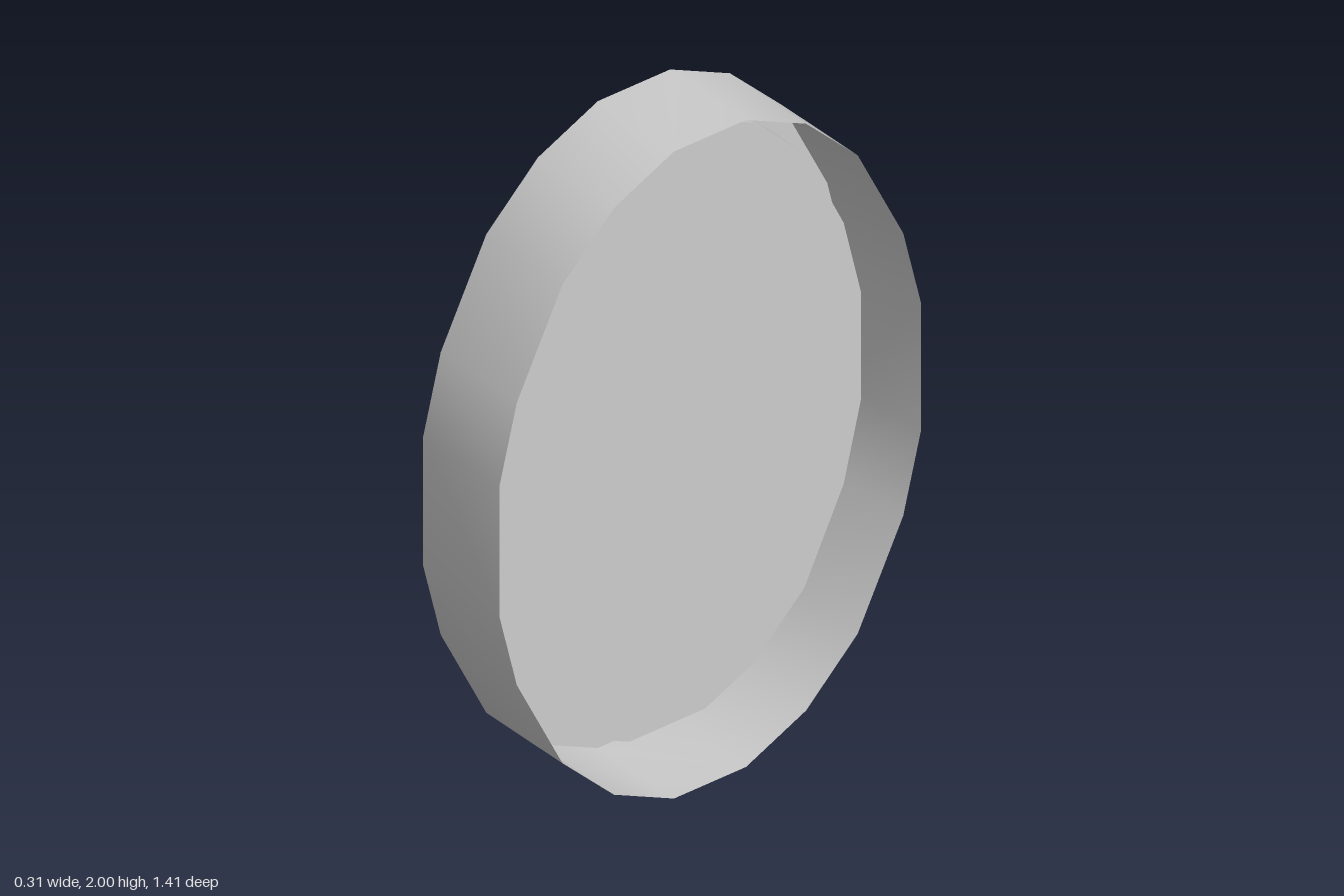
import * as THREE from 'three';

// Quarter outlines [across, up] measured from the centre of the oval
const OUTER = [[0.707, 0.2], [0.648, 0.437], [0.495, 0.74], [0.322, 0.907], [0.121, 1]];
const INNER = [[0.65, 0.167], [0.592, 0.404], [0.46, 0.672], [0.288, 0.836], [0.127, 0.91]];
const HALF_DEPTH = 0.157;
const PANEL_DEPTH = 0.02;

// Mirror a quarter into a full counter-clockwise 20-sided loop
function fullLoop(quarter) {
  const half = [...quarter, ...quarter.map(([x, y]) => [-x, y]).reverse()];
  return [...half, ...half.map(([x, y]) => [-x, -y])].map(([x, y]) => new THREE.Vector2(x, y));
}

// Smooth band around a loop; faces outward when z0 < z1, inward otherwise
function band(loop, z0, z1) {
  const n = loop.length;
  const positions = [];
  const index = [];
  loop.forEach((p, i) => {
    positions.push(p.x, p.y, z0, p.x, p.y, z1);
    const a = 2 * i;
    const b = 2 * ((i + 1) % n);
    index.push(a, b, b + 1, a, b + 1, a + 1);
  });
  const geometry = new THREE.BufferGeometry();
  geometry.setAttribute('position', new THREE.Float32BufferAttribute(positions, 3));
  geometry.setIndex(index);
  geometry.computeVertexNormals();
  return geometry;
}

export function createModel() {
  const material = new THREE.MeshStandardMaterial({ color: 0xcccccc, side: THREE.DoubleSide });
  const outer = fullLoop(OUTER);
  const inner = fullLoop(INNER);

  // Built facing +z, then turned so the rimmed face looks along -x
  const body = new THREE.Group();
  body.name = 'ovalFrame';
  body.rotation.y = -Math.PI / 2;
  body.position.y = 1;

  const add = (name, geometry, z = 0) => {
    const mesh = new THREE.Mesh(geometry, material);
    mesh.name = name;
    mesh.position.z = z;
    body.add(mesh);
  };

  // Outer wall, open at the rear
  add('outerWall', band(outer, -HALF_DEPTH, HALF_DEPTH));

  // Flat rim around the opening
  const rim = new THREE.Shape(outer);
  rim.holes.push(new THREE.Path(inner));
  add('rim', new THREE.ShapeGeometry(rim), HALF_DEPTH);

  // Recess wall leading in to the panel
  add('recessWall', band(inner, HALF_DEPTH, PANEL_DEPTH));

  // Recessed oval panel
  add('panel', new THREE.ShapeGeometry(new THREE.Shape(inner)), PANEL_DEPTH);

  const model = new THREE.Group();
  model.name = 'ovalPanel';
  model.add(body);
  return model;
}
